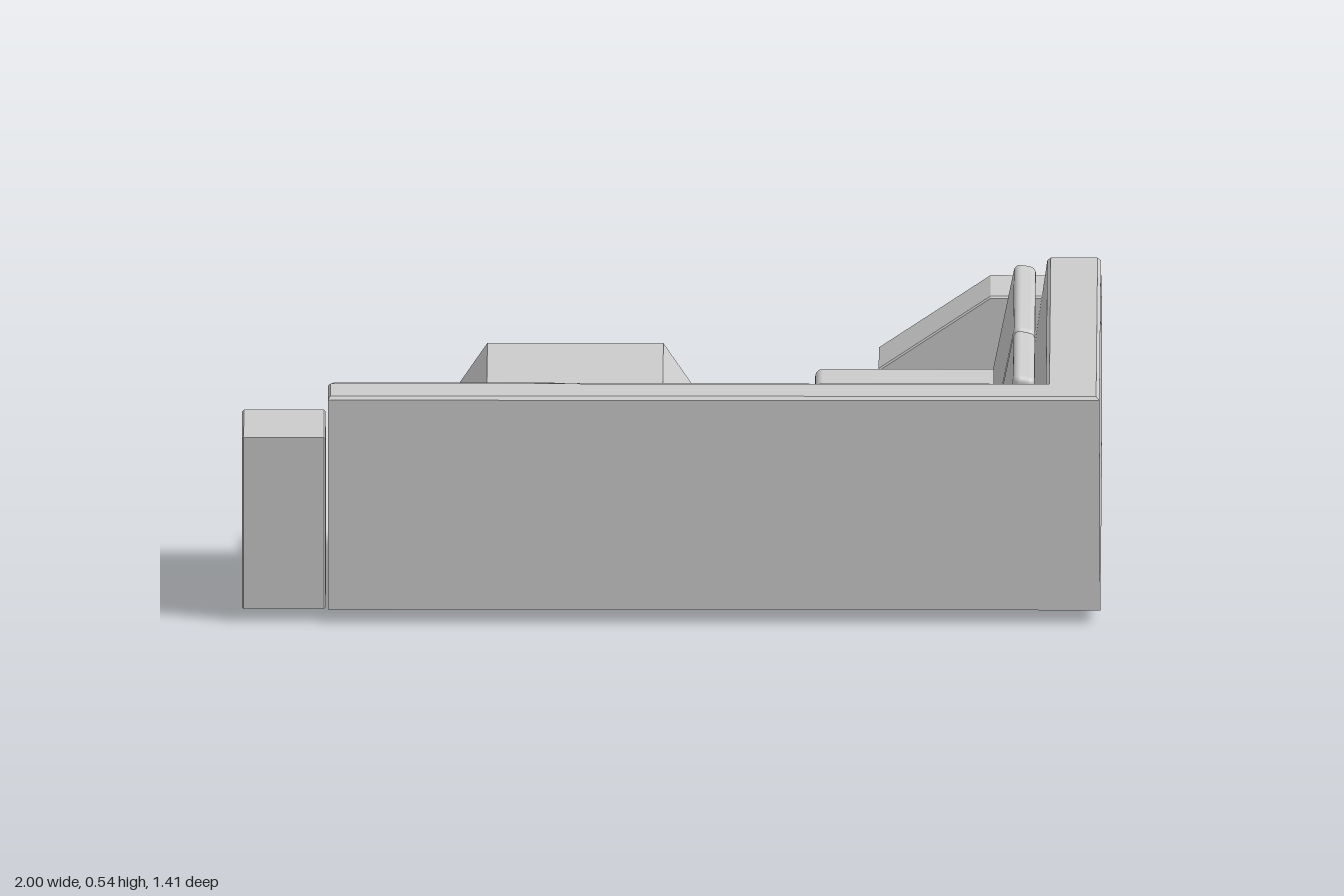
import * as THREE from 'three';
import { RoundedBoxGeometry } from 'three/addons/geometries/RoundedBoxGeometry.js';

const material = new THREE.MeshStandardMaterial({ color: 0xcccccc });

function add(parent, name, geometry, x = 0, y = 0, z = 0) {
  const mesh = new THREE.Mesh(geometry, material);
  mesh.name = name;
  mesh.position.set(x, y, z);
  parent.add(mesh);
  return mesh;
}

// L-shaped ring at height y: outer corner (x1, z1), inner corner (xi, zi), ends at x0 and z0
const ringL = (y, x0, z0, x1, z1, xi, zi) =>
  [[x0, z1], [x1, z1], [x1, z0], [xi, z0], [xi, zi], [x0, zi]].map(([x, z]) => [x, y, z]);

// Solid lofted through L-shaped rings, bottom to top, with flat faces
function loftL(rings) {
  const n = 6, index = [], last = (rings.length - 1) * n;
  for (let r = 0; r < rings.length - 1; r++) {
    for (let i = 0; i < n; i++) {
      const a = r * n + i, b = r * n + (i + 1) % n;
      index.push(a, b, b + n, a, b + n, a + n);
    }
  }
  for (const [a, b, c] of [[0, 1, 4], [0, 4, 5], [1, 2, 3], [1, 3, 4]]) {
    index.push(a, c, b, last + a, last + b, last + c);
  }
  const indexed = new THREE.BufferGeometry();
  indexed.setAttribute('position', new THREE.Float32BufferAttribute(rings.flat(2), 3));
  indexed.setIndex(index);
  const geometry = indexed.toNonIndexed();
  geometry.computeVertexNormals();
  return geometry;
}

// Prism whose small bevel stays inside the given outline and depth
function prism(points, depth, bevel, hole) {
  const toVectors = (list) => list.map(([x, y]) => new THREE.Vector2(x, y));
  const shape = new THREE.Shape(toVectors(points));
  if (hole) shape.holes.push(new THREE.Path(toVectors(hole)));
  const geometry = new THREE.ExtrudeGeometry(shape, {
    depth: depth - 2 * bevel, bevelEnabled: bevel > 0, bevelSize: bevel,
    bevelThickness: bevel, bevelOffset: -bevel, bevelSegments: 1,
  });
  return geometry.translate(0, 0, bevel);
}

const armProfile = (front, knee, back) =>
  [[back, 0.03], [back, 0.445], [knee, 0.445], [front, 0.27], [front, 0.03]];

const hexagon = (half, topHalf, halfHeight) => [
  [half, 0], [topHalf, halfHeight], [-topHalf, halfHeight],
  [-half, 0], [-topHalf, -halfHeight], [topHalf, -halfHeight],
];

export function createModel() {
  const model = new THREE.Group();
  model.name = 'cornerSofaAndTable';
  const sofa = new THREE.Group();
  sofa.name = 'cornerSofa';
  model.add(sofa);

  // Plinth under the seats
  add(sofa, 'seatBase', loftL([
    ringL(0.03, -0.79, -0.5, 0.85, 0.55, 0.35, 0.075),
    ringL(0.22, -0.79, -0.5, 0.85, 0.55, 0.35, 0.075),
  ]));

  // Backrest wall: inner face leans back, outer face tapers slightly
  add(sofa, 'backrest', loftL([
    ringL(0.03, -0.8, -0.51, 1, 0.705, 0.8, 0.5),
    ringL(0.535, -0.8, -0.51, 0.998, 0.697, 0.873, 0.575),
    ringL(0.543, -0.794, -0.504, 0.99, 0.689, 0.881, 0.583),
  ]));

  // Arms with sloping fronts
  const rightArm = add(sofa, 'rightArm', prism(armProfile(0.18, 0.46, 0.7), 0.195, 0.004), -0.805);
  rightArm.rotation.y = -Math.PI / 2;
  add(sofa, 'leftArm', prism(armProfile(0.48, 0.74, 1), 0.188, 0.004), 0, 0, -0.705);

  // Seat cushions as [x0, x1, z0, z1]
  const seats = [
    [-0.8, -0.237, 0.052, 0.55],
    [-0.23, 0.33, 0.052, 0.55],
    [0.335, 0.82, 0.06, 0.54],
    [0.332, 0.83, -0.51, 0.053],
  ];
  seats.forEach(([x0, x1, z0, z1]) => add(sofa, 'seatCushion',
    new RoundedBoxGeometry(x1 - x0, 0.068, z1 - z0, 3, 0.018),
    (x0 + x1) / 2, 0.242, (z0 + z1) / 2));

  // Tilted back cushions on the long and short sides
  const tilt = 0.2, height = 0.27, thickness = 0.052;
  for (const [x0, x1] of [[-0.8, -0.237], [-0.23, 0.33], [0.337, 0.75]]) {
    const cushion = add(sofa, 'longSideBackCushion',
      new RoundedBoxGeometry(x1 - x0, height, thickness, 3, 0.016), (x0 + x1) / 2, 0.395, 0.515);
    cushion.rotation.x = tilt;
  }
  for (const [z0, z1] of [[-0.505, 0.055], [0.067, 0.47]]) {
    const cushion = add(sofa, 'shortSideBackCushion',
      new RoundedBoxGeometry(thickness, height, z1 - z0, 3, 0.016), 0.797, 0.395, (z0 + z1) / 2);
    cushion.rotation.z = -tilt;
  }

  // Hexagonal table with a recessed panel at each end
  const table = new THREE.Group();
  table.name = 'coffeeTable';
  table.position.set(-0.227, 0.145, -0.487);
  model.add(table);
  const recess = hexagon(0.235, 0.17, 0.09);
  add(table, 'tableShell', prism(hexagon(0.303, 0.205, 0.145), 0.364, 0.003, recess), 0, 0, -0.182);
  add(table, 'tablePanels', prism(recess, 0.284, 0), 0, 0, -0.142);

  return model;
}
